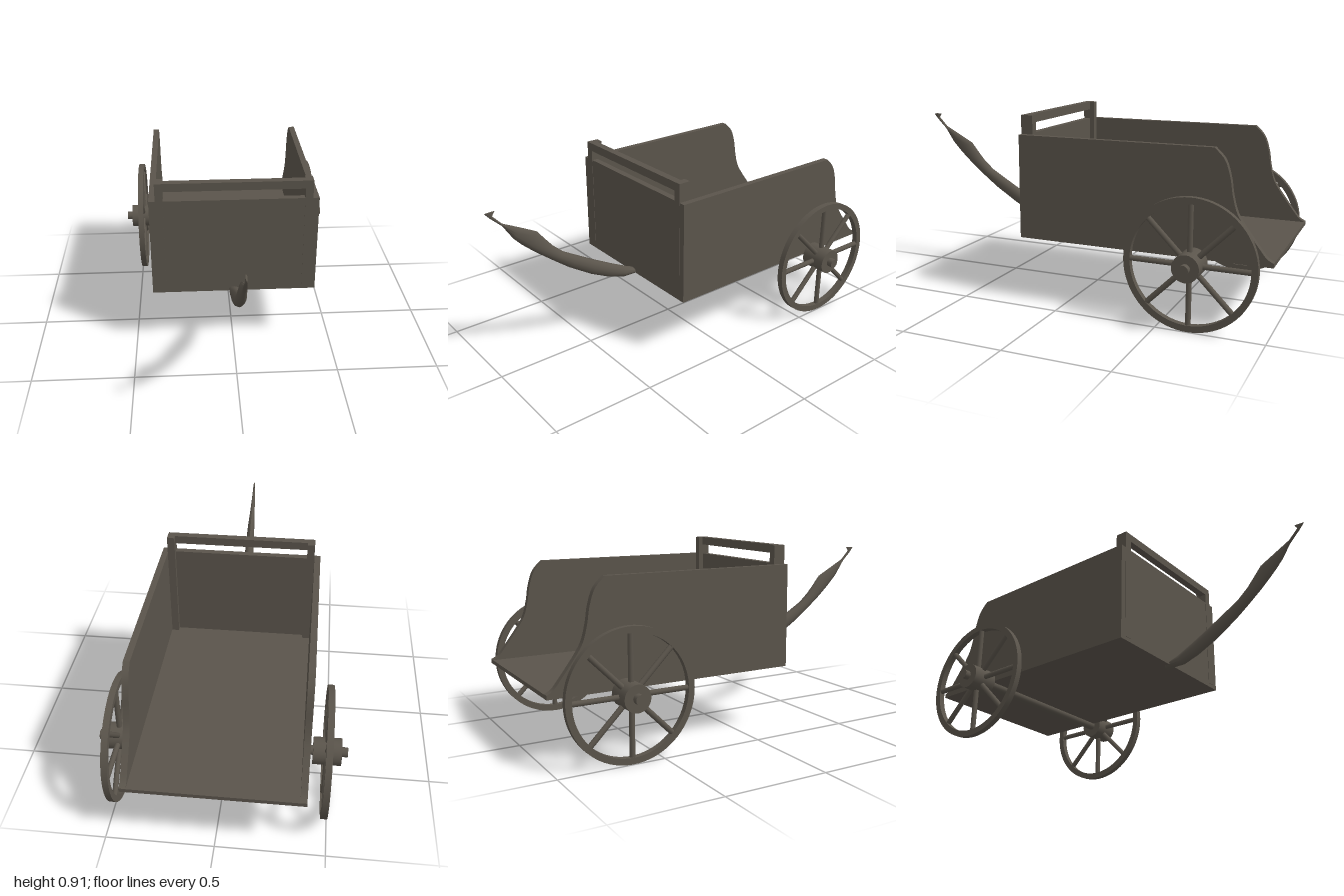
import * as THREE from 'three';
import { toCreasedNormals } from 'three/addons/utils/BufferGeometryUtils.js';

const wood = new THREE.MeshStandardMaterial({ color: 0x5a544b });
wood.name = 'dark wood';

function add(parent, name, geometry, x = 0, y = 0, z = 0) {
  const mesh = new THREE.Mesh(geometry, wood);
  mesh.name = name;
  mesh.position.set(x, y, z);
  parent.add(mesh);
  return mesh;
}

// Box given by its limits
function block(parent, name, x0, x1, y0, y1, z0, z1) {
  return add(parent, name, new THREE.BoxGeometry(x1 - x0, y1 - y0, z1 - z0),
    (x0 + x1) / 2, (y0 + y1) / 2, (z0 + z1) / 2);
}

// Shape drawn in (z, y), extruded along x and centred on x = 0
function sidewaysExtrude(shape, width, curveSegments = 12) {
  const g = new THREE.ExtrudeGeometry(shape, { depth: width, bevelEnabled: false, curveSegments });
  g.translate(0, 0, -width / 2);
  g.rotateY(-Math.PI / 2);
  return toCreasedNormals(g, 0.5);
}

// Side board with the swept rear edge
function sideBoardGeometry() {
  const s = new THREE.Shape();
  s.moveTo(0.23, 0.315);
  s.lineTo(0.23, 0.818);
  s.lineTo(-0.725, 0.818);
  s.splineThru([
    [-0.773, 0.767], [-0.799, 0.69], [-0.81, 0.623], [-0.83, 0.548],
    [-0.86, 0.495], [-0.9, 0.44], [-0.94, 0.388], [-0.97, 0.352], [-1, 0.335],
  ].map(([z, y]) => new THREE.Vector2(z, y)));
  s.lineTo(-1, 0.315);
  s.closePath();
  return sidewaysExtrude(s, 0.03, 3);
}

// Curved draught pole lofted through elliptical sections
function poleGeometry() {
  // upper z, upper y, lower z, lower y, half width
  const sections = [
    [0.222, 0.334, 0.195, 0.307, 0.025],
    [0.27, 0.357, 0.3, 0.307, 0.025],
    [0.36, 0.402, 0.382, 0.334, 0.025],
    [0.463, 0.457, 0.48, 0.382, 0.025],
    [0.57, 0.518, 0.6, 0.458, 0.025],
    [0.63, 0.553, 0.676, 0.516, 0.025],
    [0.68, 0.598, 0.757, 0.58, 0.023],
    [0.714, 0.639, 0.8, 0.617, 0.021],
    [0.757, 0.693, 0.837, 0.65, 0.018],
    [0.837, 0.735, 0.874, 0.69, 0.014],
    [0.922, 0.778, 0.922, 0.765, 0.009],
    [0.965, 0.825, 0.975, 0.815, 0.006],
    [0.95, 0.845, 1.0, 0.843, 0.004],
  ];
  const n = 12, pos = [], idx = [];
  for (const [uz, uy, lz, ly, w] of sections) {
    for (let i = 0; i < n; i++) {
      const a = (i / n) * Math.PI * 2, t = Math.sin(a) / 2;
      pos.push(w * Math.cos(a), (uy + ly) / 2 + (uy - ly) * t, (uz + lz) / 2 + (uz - lz) * t);
    }
  }
  const last = (sections.length - 1) * n;
  for (let k = 0; k < last; k += n) {
    for (let i = 0; i < n; i++) {
      const j = (i + 1) % n;
      idx.push(k + i, k + j, k + n + i, k + j, k + n + j, k + n + i);
    }
  }
  // End caps
  for (let i = 1; i < n - 1; i++) idx.push(0, i + 1, i, last, last + i, last + i + 1);
  const g = new THREE.BufferGeometry();
  g.setAttribute('position', new THREE.Float32BufferAttribute(pos, 3));
  g.setIndex(idx);
  return toCreasedNormals(g, 0.8);
}

// Spoked wheel turning about x
function makeWheel() {
  const wheel = new THREE.Group();
  const ring = new THREE.Shape().absarc(0, 0, 0.305, 0, Math.PI * 2, false);
  ring.holes.push(new THREE.Path().absarc(0, 0, 0.275, 0, Math.PI * 2, true));
  add(wheel, 'rim', sidewaysExtrude(ring, 0.029, 40));
  add(wheel, 'hub', new THREE.CylinderGeometry(0.063, 0.063, 0.13, 24).rotateZ(Math.PI / 2));
  for (let i = 0; i < 8; i++) {
    const g = new THREE.CylinderGeometry(0.013, 0.013, 0.24, 10);
    g.translate(0, 0.165, 0).rotateX((i * Math.PI) / 4);
    add(wheel, 'spoke', g);
  }
  return wheel;
}

export function createModel() {
  const cart = new THREE.Group();
  cart.name = 'cart';

  // Open-backed body
  const body = new THREE.Group();
  body.name = 'body';
  body.position.x = 0.0035;
  cart.add(body);
  block(body, 'floor', -0.376, 0.376, 0.315, 0.334, -1, 0.2);
  block(body, 'frontBoard', -0.376, 0.376, 0.315, 0.818, 0.198, 0.23);
  const board = sideBoardGeometry();
  for (const s of [-1, 1]) add(body, s > 0 ? 'leftBoard' : 'rightBoard', board, s * 0.391);

  // Hand rail on corner posts
  block(body, 'handRail', -0.338, 0.338, 0.868, 0.909, 0.195, 0.232);
  for (const s of [-1, 1]) {
    const post = block(body, 'railPost', -0.0185, 0.0185, 0.334, 0.909, 0.172, 0.232);
    post.position.x = s * 0.3565;
  }

  add(body, 'pole', poleGeometry());

  // Running gear
  add(cart, 'axle', new THREE.CylinderGeometry(0.023, 0.023, 1.154, 20).rotateZ(Math.PI / 2), 0, 0.307, -0.65);
  for (const s of [-1, 1]) {
    const wheel = makeWheel();
    wheel.name = s > 0 ? 'leftWheel' : 'rightWheel';
    wheel.position.set(s * 0.483, 0.306, -0.65);
    cart.add(wheel);
  }
  return cart;
}
